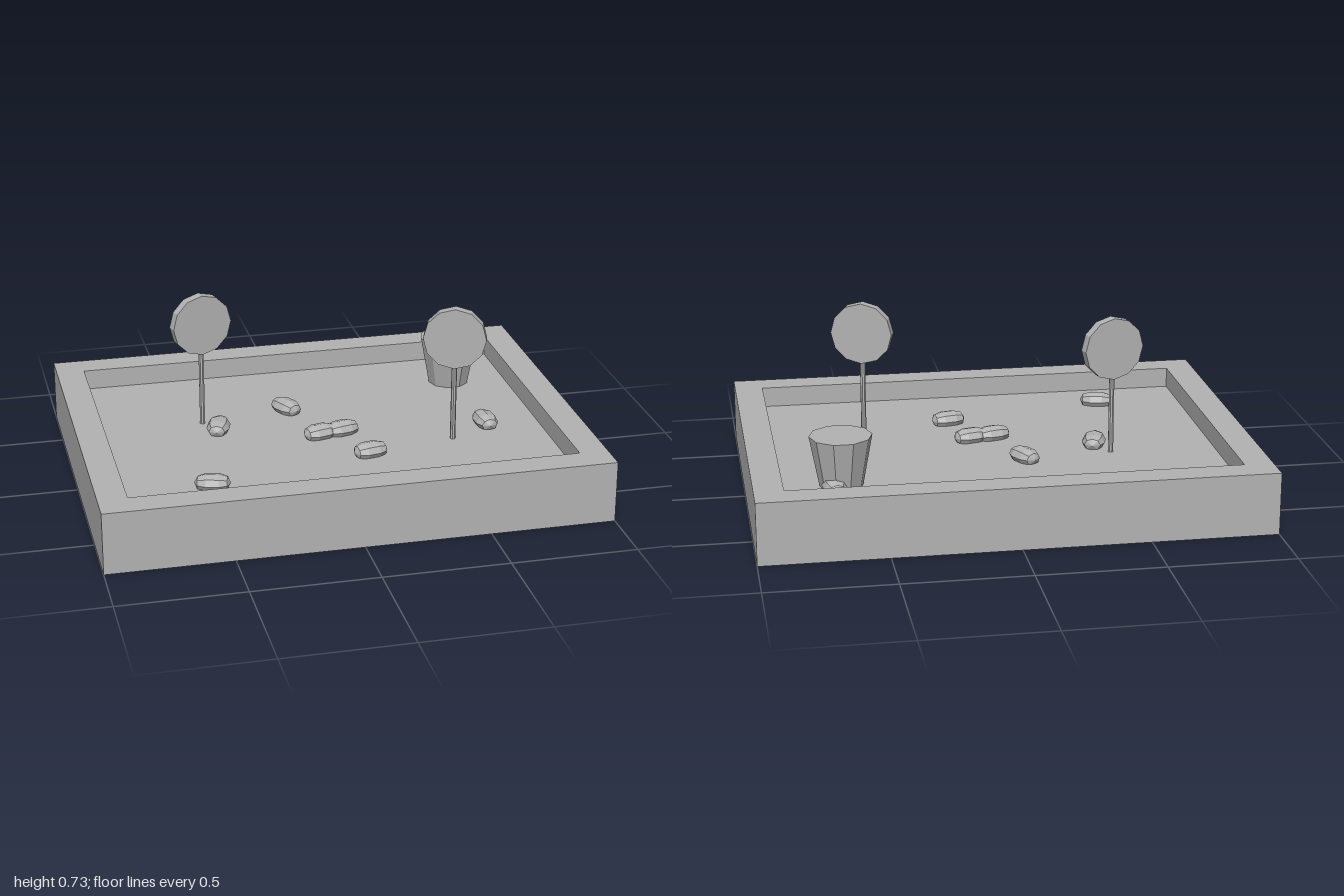
import * as THREE from 'three';

export function createModel() {
  const group = new THREE.Group();
  const gray = new THREE.MeshStandardMaterial({ color: 0xb3b3b3, flatShading: true });
  gray.name = 'plain gray';
  const FLOOR = 0.167;

  function add(geometry, name, parent = group) {
    const mesh = new THREE.Mesh(geometry, gray);
    mesh.name = name;
    parent.add(mesh);
    return mesh;
  }

  // Tray: solid base with a raised rectangular rim
  add(new THREE.BoxGeometry(2, FLOOR, 1.5), 'trayBase').position.y = FLOOR / 2;
  const rim = new THREE.Shape([[-1, -0.75], [1, -0.75], [1, 0.75], [-1, 0.75]]
    .map(([x, y]) => new THREE.Vector2(x, y)));
  rim.holes.push(new THREE.Path([[-0.885, -0.633], [-0.885, 0.633], [0.885, 0.633], [0.885, -0.633]]
    .map(([x, y]) => new THREE.Vector2(x, y))));
  const rimGeo = new THREE.ExtrudeGeometry(rim, { depth: 0.25 - FLOOR, bevelEnabled: false });
  rimGeo.rotateX(-Math.PI / 2);
  add(rimGeo, 'trayRim').position.y = FLOOR;

  // Round discs on thin sticks
  for (const [x, z, turn] of [[-0.46, -0.17, 0.25], [0.497, 0.206, -0.335]]) {
    const lolly = new THREE.Group();
    lolly.name = 'discOnStick';
    lolly.position.set(x, 0, z);
    lolly.rotation.y = turn;
    const disc = add(new THREE.CylinderGeometry(0.126, 0.126, 0.041, 12), 'disc', lolly);
    disc.rotation.x = Math.PI / 2;
    disc.position.y = 0.602;
    const length = 0.5 - FLOOR;
    add(new THREE.CylinderGeometry(0.011, 0.011, length, 8), 'stick', lolly).position.y = FLOOR + length / 2;
    group.add(lolly);
  }

  // Tapered tub
  const tubHeight = 0.37 - FLOOR;
  const tub = add(new THREE.CylinderGeometry(0.123, 0.085, tubHeight, 10), 'tub');
  tub.rotation.y = Math.PI / 2;
  tub.position.set(0.647, FLOOR + tubHeight / 2, -0.382);

  // Small faceted pebbles: x, z, and direction of the long axis in x, z
  const pebbles = [
    [-0.1, -0.215, 0.45, 0.85], [-0.41, -0.08, -0.3, 0.94], [-0.02, 0.07, 0.94, -0.25],
    [0.075, 0.055, 0.95, -0.25], [0.665, 0.1, 0.06, 1], [0.135, 0.285, 0.97, -0.2],
    [-0.53, 0.44, 0.96, 0.25], [0.68, -0.445, 0.1, 1],
  ];
  const pebbleGeo = new THREE.CapsuleGeometry(0.046, 0.05, 2, 8);
  pebbleGeo.rotateZ(Math.PI / 2);
  pebbleGeo.scale(1, 0.75, 1);
  for (const [x, z, dx, dz] of pebbles) {
    const pebble = add(pebbleGeo, 'pebble');
    pebble.position.set(x, FLOOR + 0.019, z);
    pebble.rotation.y = Math.atan2(-dz, dx);
  }
  return group;
}
